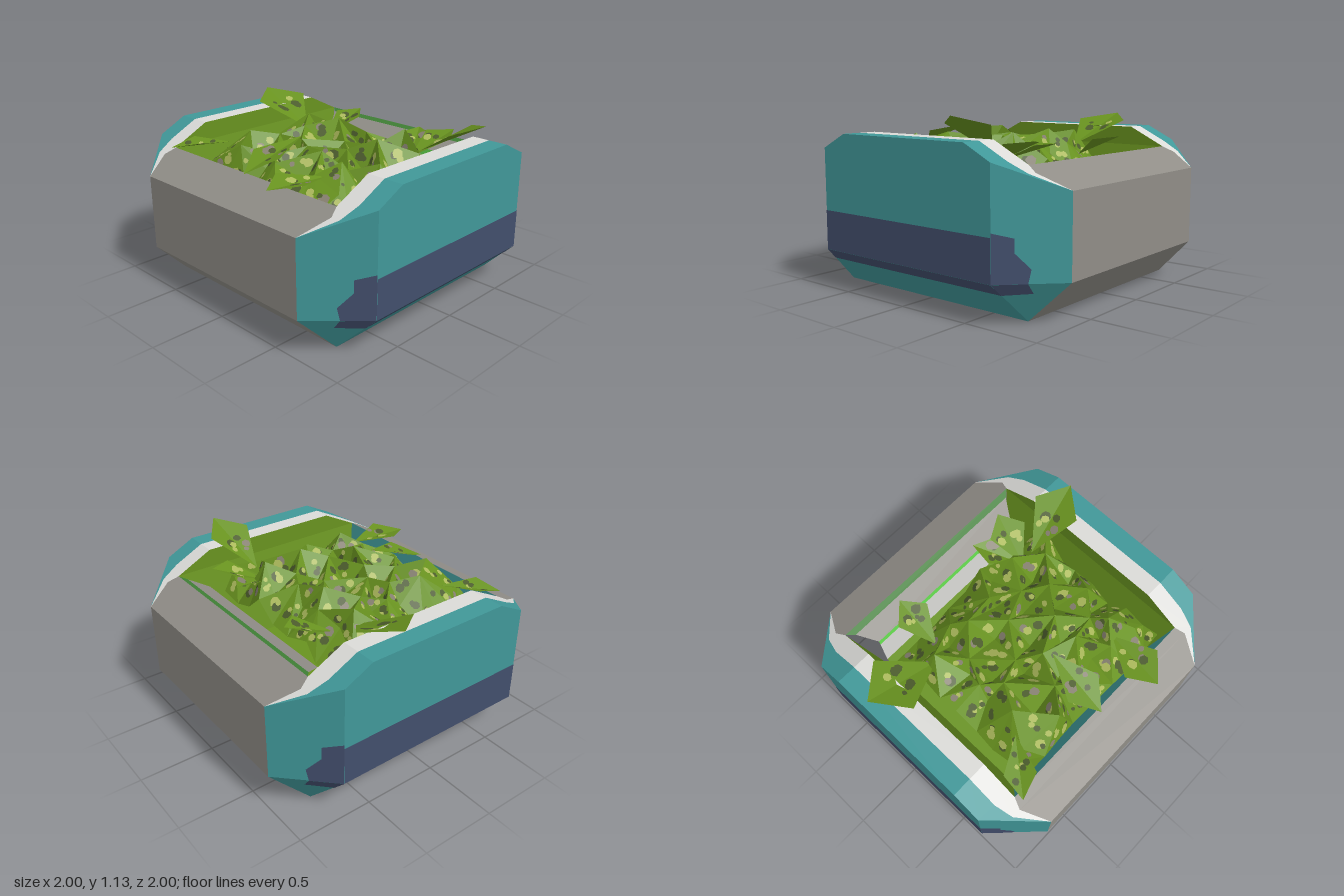
import * as THREE from 'three';

const V = (x, y, z) => new THREE.Vector3(x, y, z);
const paint = (name, color, side = THREE.FrontSide) => {
  const m = new THREE.MeshStandardMaterial({ color, side });
  m.name = name;
  return m;
};

// Flat polygon as a triangle fan, turned so that it faces "dir" and lifted along its normal
function face(list, pts, dir, lift = 0) {
  const n = V(0, 0, 0);
  for (let i = 1; i < pts.length - 1; i++) {
    n.add(pts[i].clone().sub(pts[0]).cross(pts[i + 1].clone().sub(pts[0])));
  }
  n.normalize();
  const flip = n.dot(dir) < 0;
  if (flip) n.negate();
  const p = pts.map(q => q.clone().addScaledVector(n, lift));
  for (let i = 1; i < p.length - 1; i++) {
    if (flip) list.push(p[0], p[i + 1], p[i]);
    else list.push(p[0], p[i], p[i + 1]);
  }
}

// Quad spanning a point pair mirrored across x = 0
const across = (a, b) => [a, b, V(-b.x, b.y, b.z), V(-a.x, a.y, a.z)];
// Quad spanning a point pair mirrored across z = 0
const along = (a, b) => [a, b, V(b.x, b.y, -b.z), V(a.x, a.y, -a.z)];

function addMesh(group, name, list, material) {
  const g = new THREE.BufferGeometry().setFromPoints(list);
  g.computeVertexNormals();
  const mesh = new THREE.Mesh(g, material);
  mesh.name = name;
  group.add(mesh);
}

export function createModel() {
  const root = new THREE.Group();
  root.name = 'openCrateWithCloth';
  const D = THREE.DoubleSide;
  const teal = paint('teal', 0x409798), navy = paint('navy', 0x424e6c);
  const grey = paint('warmGrey', 0x908d87), pale = paint('paleGrey', 0xdadad7);
  const green = paint('camoGreen', 0x68921f, D), light = paint('camoLight', 0xacba5c, D);
  const dark = paint('camoDark', 0x4c5c2c, D), taupe = paint('camoTaupe', 0x868070, D);
  const bright = paint('brightGreen', 0x68e052), moss = paint('mossGreen', 0x3f7f35);

  // Main sizes: corner start, opening and floor half widths, belt and wall heights
  const C = 0.69, O = 0.75, F = 0.62, belt = 0.25, floor = 0.3;
  const sides = [], bands = [], ends = [], rims = [], inner = [], front = [];
  const top = (x, z) => V(x, Math.min(1, 1.25 - 0.5 * Math.abs(z)), z);
  const up = V(0, 1, 0), down = V(0, -1, 0);
  face(ends, across(V(O, 0, O), V(O, 0, -O)), down);
  face(inner, across(V(F, floor, F), V(F, floor, -F)), up);
  face(front, across(V(O, 0.875, O), V(F, floor, F)), V(0, 0, -1));

  for (const s of [-1, 1]) {
    // Front and back ends: wall, lower slope and sloping rim
    const outZ = V(0, 0, s), outX = V(s, 0, 0);
    face(ends, across(V(C, belt, s), V(C, O, s)), outZ);
    face(ends, across(V(C, belt, s), V(O, 0, O * s)), outZ);
    face(ends, across(top(C, s), top(0.78, 0.82 * s)), up);
    face(ends, across(top(0.78, 0.82 * s), top(O, O * s)), up);

    // Left and right sides: wall, lower slope, flat rim and inner wall
    face(sides, along(V(s, belt, C), top(s, C)), outX);
    face(sides, along(top(s, C), top(s, 0.5)), outX);
    face(sides, along(V(s, belt, C), V(O * s, 0, O)), outX);
    face(sides, along(top(s, 0.5), top(0.87 * s, 0.5)), up);
    face(rims, along(top(O * s, 0.5), top(0.87 * s, 0.5)), up);
    face(inner, along(V(F * s, floor, F), top(O * s, O)), V(-s, 0, 0));
    face(inner, along(top(O * s, O), top(O * s, 0.5)), V(-s, 0, 0));

    // Painted band on the wall and just below the belt
    face(bands, along(V(s, belt, C), V(s, 0.505, C)), outX, 0.002);
    face(bands, along(V(s, belt, C), V(0.93 * s, 0.18, 0.707)), outX, 0.002);

    // Chamfered corners with the ragged ends of the band
    for (const t of [-1, 1]) {
      const diag = V(s, 0, t), tip = V(O * s, 0, O * t);
      const at = (k, y) => V((1 - 0.31 * k) * s, y, (C + 0.31 * k) * t);
      const rim = pts => pts.map(([x, z]) => top(x * s, z * t));
      const edge = [[0.87, 0.5], [0.87, 0.7], [0.84, 0.82], [C, 1]];
      face(sides, [at(0, belt), at(1, belt), at(1, O), at(0, 0.905)], diag);
      face(sides, [at(0, belt), at(1, belt), tip], diag);
      face(sides, rim([[1, C], [1, 0.5], ...edge]), up);
      face(rims, rim([edge[2], edge[3], [0.78, 0.82], [O, O], [O, 0.5], edge[0], edge[1]]), up);
      face(bands, [at(0, belt), at(0, 0.53), at(0.29, 0.5), at(0.29, 0.42), at(0.5, 0.33), at(0.46, belt)], diag, 0.002);
      face(bands, [at(0, belt), at(0.46, belt), at(0.55, belt).lerp(tip, 0.25), at(0, belt).lerp(tip, 0.28)], diag, 0.002);
    }
  }

  // Stepped back wall from the rim down to the floor
  const profile = [V(O, 0.875, -O), V(0.7, 0.86, -0.71), V(F, 0.8, -0.59), V(F, 0.75, -0.588),
    V(F, 0.46, -0.586), V(F, 0.45, -0.5), V(F, 0.44, -0.48), V(F, floor, -0.47)];
  const steps = [['backTrim', moss], ['backLedge', grey], ['backStripe', bright], ['backPanel', pale],
    ['lowerLedge', green], ['lowerStripe', bright], ['lowerWall', moss]];
  steps.forEach(([name, mat], i) => {
    const list = [];
    face(list, across(profile[i], profile[i + 1]), V(0, 1, 1));
    addMesh(root, name, list, mat);
  });
  addMesh(root, 'sideShells', sides, teal);
  addMesh(root, 'sideBands', bands, navy);
  addMesh(root, 'endShells', ends, grey);
  addMesh(root, 'rimStrips', rims, pale);
  addMesh(root, 'innerWalls', inner, green);
  addMesh(root, 'innerFrontWall', front, teal);

  // Crumpled cloth: jittered grid of folds
  let seed = 11;
  const rnd = () => (seed = (seed * 16807) % 2147483647) / 2147483647;
  const N = 8, grid = [], tris = [];
  for (let i = 0; i <= N; i++) {
    grid.push([]);
    for (let j = 0; j <= N; j++) {
      const edge = i % N === 0 || j % N === 0;
      const jitter = edge ? 0.05 : 0.13;
      const x = -0.6 + 1.28 * i / N + (rnd() - 0.5) * jitter;
      const z = -0.45 + 1.15 * j / N + (rnd() - 0.5) * jitter;
      const fold = (i + j) % 2 ? 0.88 + 0.13 * rnd() : 0.74 + 0.11 * rnd();
      grid[i].push(V(x, edge ? 0.66 + 0.2 * rnd() : fold, z));
    }
  }
  for (let i = 0; i < N; i++) {
    for (let j = 0; j < N; j++) {
      const [a, b, c, d] = [grid[i][j], grid[i + 1][j], grid[i + 1][j + 1], grid[i][j + 1]];
      if ((i + j) % 2) tris.push([a, b, c], [a, c, d]);
      else tris.push([a, b, d], [b, c, d]);
    }
  }

  // Raised kite-shaped flaps from a hub to a tip, folded along the middle
  const flap = (hub, tip, width) => {
    const dir = tip.clone().sub(hub);
    const mid = hub.clone().addScaledVector(dir, 0.62);
    const perp = V(-dir.z, 0, dir.x).setLength(width);
    for (const s of [-1, 1]) {
      const wing = mid.clone().addScaledVector(perp, s);
      wing.y += 0.035;
      tris.push([hub, wing, tip]);
    }
  };
  flap(V(-0.48, 0.88, -0.2), V(-0.97, 1.085, -0.25), 0.2);
  flap(V(0.5, 0.9, -0.28), V(0.94, 1.135, -0.35), 0.16);
  flap(V(0.42, 0.84, -0.28), V(0.25, 0.95, -0.58), 0.1);
  flap(V(0.42, 0.84, -0.28), V(0.52, 0.98, -0.61), 0.13);
  flap(V(-0.38, 0.82, -0.3), V(-0.36, 0.96, -0.64), 0.12);
  flap(V(0.42, 0.9, 0.5), V(0.37, 0.91, 0.92), 0.14);
  flap(V(-0.48, 0.92, 0.5), V(-0.73, 0.89, 0.8), 0.1);
  flap(V(0.03, 1.03, 0.33), V(0, 0.88, 0.78), 0.13);

  // Camouflage spots kept inside each facet
  const cloth = [], spots = [[], [], []];
  for (const t of tris) {
    face(cloth, t, up);
    const [a, b, c] = t;
    const ab = b.clone().sub(a), ac = c.clone().sub(a);
    const normal = ab.clone().cross(ac), twice = normal.length();
    const u = ab.clone().normalize(), w = normal.normalize().cross(u);
    for (let k = 0; k < 3; k++) {
      const r = V(0.25 + rnd(), 0.25 + rnd(), 0.25 + rnd());
      r.divideScalar(r.x + r.y + r.z);
      const room = twice * Math.min(r.x / b.distanceTo(c), r.y / c.distanceTo(a), r.z / a.distanceTo(b));
      const size = Math.min(room * 0.95, 0.02 + 0.025 * rnd());
      const pick = rnd();
      if (size < 0.012) continue;
      const mid = a.clone().addScaledVector(ab, r.y).addScaledVector(ac, r.z);
      const spot = [];
      for (let q = 0; q < 7; q++) {
        const g = q / 7 * Math.PI * 2, e = size * (0.75 + 0.25 * rnd());
        spot.push(mid.clone().addScaledVector(u, Math.cos(g) * e).addScaledVector(w, Math.sin(g) * e));
      }
      const kind = pick < 0.45 ? 0 : pick < 0.85 ? 1 : 2;
      face(spots[kind], spot, up, 0.002 + 0.001 * k);
    }
  }
  addMesh(root, 'crumpledCloth', cloth, green);
  [['lightSpots', light], ['darkSpots', dark], ['taupeSpots', taupe]]
    .forEach(([name, mat], i) => addMesh(root, name, spots[i], mat));
  return root;
}
